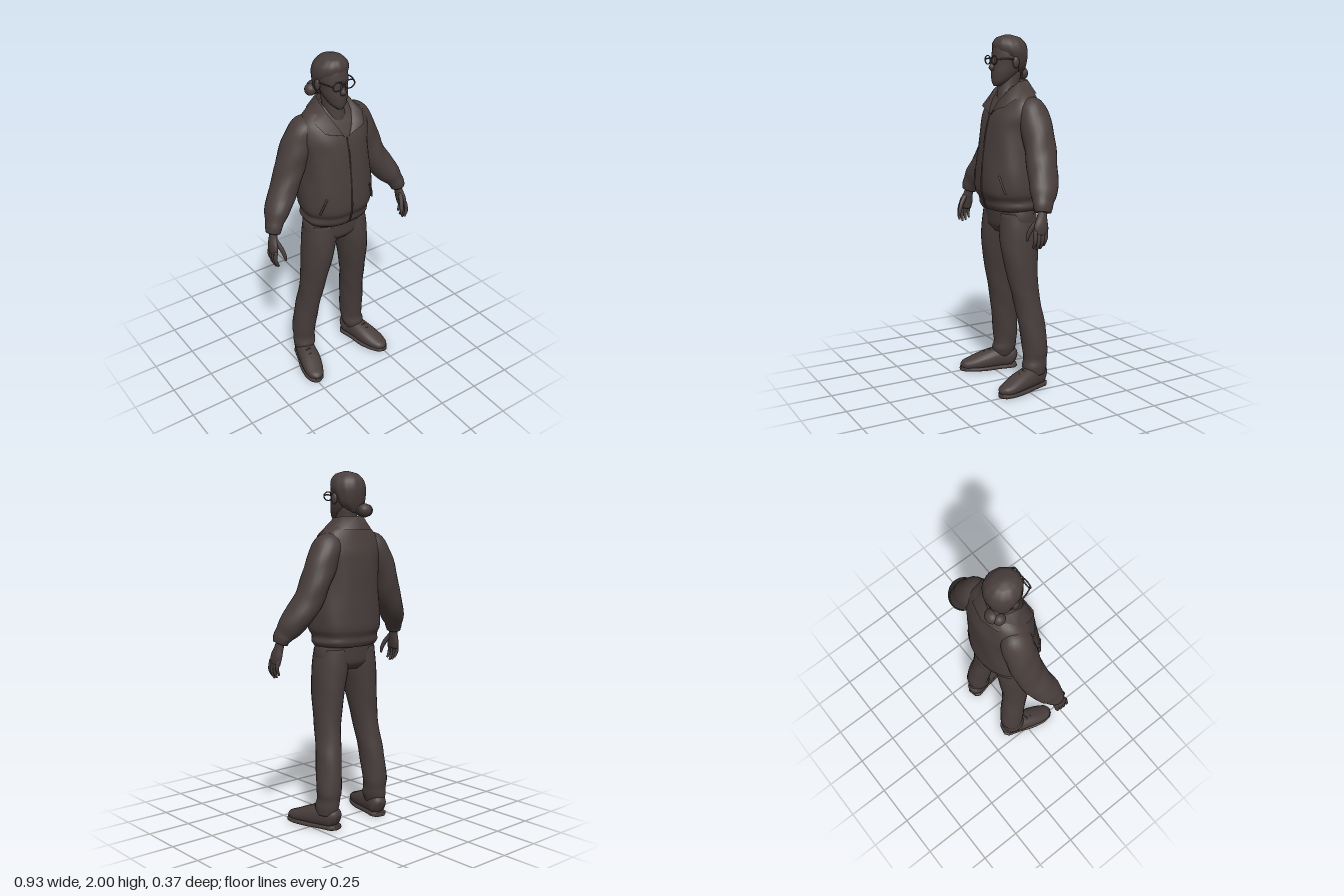
import * as THREE from 'three';

const cloth = new THREE.MeshStandardMaterial({ color: 0x483e3c, side: THREE.DoubleSide });
cloth.name = 'dark umber';

const V = (x, y, z) => new THREE.Vector3(x, y, z);

// Smooth loft through sections [x, y, z, halfWidth, halfDepth]
function loft(sections, { steps = 5, sides = 24, power = 2, level = false, ripple = null } = {}) {
  const centres = new THREE.CatmullRomCurve3(sections.map((s) => V(s[0], s[1], s[2])));
  const radii = new THREE.CatmullRomCurve3(sections.map((s) => V(s[3], s[4], s[1])));
  const rows = (sections.length - 1) * steps;
  const pos = [], idx = [];
  const bend = (v) => Math.sign(v) * Math.abs(v) ** (2 / power);
  for (let i = 0; i <= rows; i++) {
    const t = i / rows, c = centres.getPoint(t), r = radii.getPoint(t);
    const dir = level ? V(0, 1, 0) : centres.getTangent(t);
    const u = V(1, 0, 0).addScaledVector(dir, -dir.x).normalize();
    const w = dir.clone().cross(u);
    for (let j = 0; j < sides; j++) {
      const a = (j / sides) * Math.PI * 2;
      const k = ripple ? 1 + ripple(a, c.y) : 1;
      const p = c.clone()
        .addScaledVector(u, bend(Math.cos(a)) * r.x * k)
        .addScaledVector(w, bend(Math.sin(a)) * r.y * k);
      pos.push(p.x, p.y, p.z);
    }
  }
  for (let i = 0; i < rows; i++) for (let j = 0; j < sides; j++) {
    const a = i * sides + j, b = i * sides + (j + 1) % sides;
    idx.push(a, b, b + sides, a, b + sides, a + sides);
  }
  // end caps
  [0, rows].forEach((row, end) => {
    const c = centres.getPoint(end), n = pos.length / 3;
    pos.push(c.x, c.y, c.z);
    for (let j = 0; j < sides; j++) {
      const a = row * sides + j, b = row * sides + (j + 1) % sides;
      if (end) idx.push(a, b, n); else idx.push(b, a, n);
    }
  });
  const g = new THREE.BufferGeometry();
  g.setAttribute('position', new THREE.Float32BufferAttribute(pos, 3));
  g.setIndex(idx);
  g.computeVertexNormals();
  return g;
}

const cord = (pts, r) => new THREE.TubeGeometry(
  new THREE.CatmullRomCurve3(pts.map((p) => V(...p))), 16, r, 6);
const flip = (list, s) => list.map(([x, ...rest]) => [x * s, ...rest]);

// Turned-down collar: three rings of points from neck edge to outer edge
function collarGeometry() {
  const half = [
    [[0, 1.70, -0.09], [0, 1.755, -0.115], [0, 1.68, -0.15]],
    [[0.06, 1.70, -0.07], [0.07, 1.755, -0.085], [0.10, 1.68, -0.125]],
    [[0.08, 1.68, -0.02], [0.088, 1.745, -0.02], [0.15, 1.675, -0.04]],
    [[0.07, 1.64, 0.04], [0.082, 1.70, 0.045], [0.15, 1.65, 0.045]],
    [[0.04, 1.60, 0.09], [0.055, 1.645, 0.09], [0.125, 1.61, 0.095]],
    [[0.01, 1.56, 0.112], [0.02, 1.58, 0.116], [0.10, 1.605, 0.11]],
  ];
  const ring = [...half.slice(1).reverse().map((c) => flip(c, -1)), ...half];
  const idx = [];
  for (let i = 0; i < ring.length - 1; i++) for (let k = 0; k < 2; k++) {
    const a = i * 3 + k;
    idx.push(a, a + 1, a + 4, a, a + 4, a + 3);
  }
  const g = new THREE.BufferGeometry();
  g.setAttribute('position', new THREE.Float32BufferAttribute(ring.flat(2), 3));
  g.setIndex(idx);
  g.computeVertexNormals();
  return g;
}

export function createModel() {
  const model = new THREE.Group();
  const add = (name, geometry, parent = model) => {
    const m = new THREE.Mesh(geometry, cloth);
    m.name = name;
    parent.add(m);
    return m;
  };
  const ball = (name, x, y, z, a, b, c) =>
    add(name, new THREE.SphereGeometry(1, 16, 12).scale(a, b, c).translate(x, y, z));

  // Jacket body with gathered hem
  add('jacket', loft([
    [0, 1.035, -0.01, 0.185, 0.14], [0, 1.06, -0.01, 0.2, 0.152], [0, 1.09, -0.008, 0.194, 0.155],
    [0, 1.13, -0.005, 0.21, 0.172], [0, 1.22, -0.005, 0.212, 0.173], [0, 1.35, -0.01, 0.2, 0.166],
    [0, 1.48, -0.018, 0.195, 0.156], [0, 1.56, -0.025, 0.205, 0.142], [0, 1.63, -0.035, 0.195, 0.112],
    [0, 1.68, -0.045, 0.15, 0.085], [0, 1.72, -0.05, 0.08, 0.06],
  ], { level: true, sides: 48, power: 2.3, ripple: (a, y) => 0.012 * Math.sin(7 * a + 14 * y) }));
  add('collar', collarGeometry());
  add('zip', cord([[0, 1.05, 0.143], [0, 1.13, 0.168], [0, 1.22, 0.168], [0, 1.35, 0.156],
    [0, 1.48, 0.139], [0, 1.57, 0.114]], 0.005));

  // Trousers seat
  add('trouserSeat', loft([
    [0, 0.9, -0.01, 0.1, 0.08], [0, 0.94, -0.01, 0.185, 0.107],
    [0, 1.0, -0.01, 0.197, 0.112], [0, 1.07, -0.01, 0.18, 0.115],
  ], { level: true, sides: 32, power: 2.3 }));

  for (const s of [1, -1]) {
    const side = s > 0 ? 'left' : 'right';
    const arm = new THREE.Group(), leg = new THREE.Group();
    arm.name = side + 'Arm';
    leg.name = side + 'Leg';
    model.add(arm, leg);

    // Sleeve with creases and cuff
    add('sleeve', loft(flip([
      [0.11, 1.645, -0.05, 0.03, 0.05], [0.155, 1.6, -0.055, 0.075, 0.082], [0.2, 1.52, -0.06, 0.085, 0.09],
      [0.245, 1.42, -0.06, 0.08, 0.09], [0.29, 1.31, -0.048, 0.076, 0.088], [0.34, 1.23, -0.028, 0.073, 0.085],
      [0.385, 1.165, -0.002, 0.064, 0.076], [0.41, 1.125, 0.015, 0.048, 0.06],
      [0.42, 1.105, 0.022, 0.045, 0.056], [0.428, 1.075, 0.028, 0.038, 0.046],
    ], s), { ripple: (a, y) => 0.02 * Math.sin(3 * a + 40 * y) }), arm);

    // Hand, curled fingers and thumb
    add('palm', loft(flip([
      [0.42, 1.1, 0.025, 0.022, 0.026], [0.432, 1.05, 0.035, 0.022, 0.03],
      [0.442, 1.0, 0.046, 0.021, 0.043], [0.446, 0.96, 0.052, 0.015, 0.041],
    ], s), { sides: 14 }), arm);
    for (let i = 0; i < 4; i++) {
      const z = 0.021 + i * 0.021, drop = [0.02, 0.005, 0, 0.012][i];
      add('finger', loft(flip([
        [0.446, 0.985, z, 0.011, 0.012], [0.454, 0.945, z + 0.003, 0.011, 0.011],
        [0.452, 0.91 + drop, z + 0.006, 0.01, 0.01], [0.438, 0.88 + drop, z + 0.008, 0.006, 0.006],
      ], s), { sides: 8, steps: 3 }), arm);
    }
    add('thumb', loft(flip([
      [0.43, 1.04, 0.055, 0.013, 0.014], [0.415, 0.995, 0.088, 0.013, 0.014],
      [0.405, 0.955, 0.105, 0.011, 0.011], [0.402, 0.925, 0.109, 0.006, 0.006],
    ], s), { sides: 8, steps: 3 }), arm);

    // Trouser leg, gathered at the ankle
    add('trouserLeg', loft(flip([
      [0.187, 0.085, -0.072, 0.055, 0.064], [0.182, 0.13, -0.072, 0.065, 0.073],
      [0.178, 0.17, -0.078, 0.064, 0.069], [0.177, 0.22, -0.08, 0.069, 0.074],
      [0.162, 0.4, -0.06, 0.069, 0.079], [0.15, 0.5, -0.042, 0.069, 0.08],
      [0.141, 0.6, -0.025, 0.073, 0.085], [0.12, 0.8, -0.008, 0.089, 0.108],
      [0.105, 0.92, -0.008, 0.098, 0.112], [0.1, 1.02, -0.01, 0.09, 0.105],
    ], s), { level: true, ripple: (a, y) => 0.025 * Math.sin(3 * a + 30 * y) * (1 - y * 0.8) }), leg);

    // Shoe pointing slightly outward
    add('shoe', loft(flip([
      [0.165, 0.055, -0.143, 0.025, 0.03], [0.17, 0.065, -0.12, 0.05, 0.058],
      [0.19, 0.07, -0.05, 0.056, 0.062], [0.212, 0.058, 0.04, 0.062, 0.052],
      [0.235, 0.042, 0.12, 0.056, 0.036], [0.245, 0.035, 0.165, 0.04, 0.026],
      [0.25, 0.03, 0.185, 0.015, 0.013],
    ], s), { power: 2.3 }), leg);
    add('sole', loft(flip([
      [0.165, 0.013, -0.145, 0.03, 0.012], [0.17, 0.013, -0.12, 0.051, 0.013],
      [0.192, 0.013, -0.04, 0.055, 0.013], [0.215, 0.013, 0.05, 0.066, 0.013],
      [0.236, 0.013, 0.12, 0.06, 0.013], [0.248, 0.013, 0.168, 0.042, 0.013],
      [0.252, 0.014, 0.188, 0.018, 0.012],
    ], s), { power: 4 }), leg);
    for (let i = 0; i < 3; i++) {
      const x = 0.206 + i * 0.008, y = 0.12 - i * 0.013, z = 0.01 + i * 0.03;
      add('lace', cord(flip([[x - 0.033, y - 0.016, z], [x, y + 0.001, z + 0.005], [x + 0.033, y - 0.016, z]], s), 0.005), leg);
    }

    // Slanted pocket welt and trouser pocket seam
    add('pocketWelt', cord(flip([[0.175, 1.14, 0.112], [0.16, 1.19, 0.126], [0.142, 1.24, 0.135]], s), 0.006));
    // Ear and half of the glasses
    ball('ear', -0.015 + s * 0.089, 1.85, -0.01, 0.013, 0.032, 0.02);
    const lens = new THREE.TorusGeometry(0.028, 0.004, 6, 20).scale(1.1, 0.85, 1);
    add('glassesRim', lens.translate(-0.012 + s * 0.037, 1.863, 0.1));
    add('glassesTemple', cord([[-0.012 + s * 0.067, 1.868, 0.1], [-0.013 + s * 0.085, 1.87, 0.05],
      [-0.014 + s * 0.091, 1.865, -0.015]], 0.004));
  }

  // Neck and head
  add('neck', loft([[0, 1.58, 0.005, 0.07, 0.07], [-0.003, 1.66, 0, 0.06, 0.062],
    [-0.01, 1.72, -0.01, 0.056, 0.062], [-0.012, 1.8, -0.02, 0.055, 0.065]], { level: true }));
  add('head', loft([
    [-0.012, 1.72, 0.06, 0.018, 0.022], [-0.012, 1.745, 0.042, 0.045, 0.048], [-0.013, 1.79, 0.015, 0.067, 0.078],
    [-0.014, 1.84, -0.003, 0.078, 0.092], [-0.015, 1.89, -0.012, 0.086, 0.097], [-0.015, 1.94, -0.017, 0.08, 0.092],
    [-0.015, 1.98, -0.012, 0.05, 0.06], [-0.015, 1.993, -0.01, 0.015, 0.02],
  ], { level: true }));
  add('nose', loft([[-0.012, 1.805, 0.092, 0.012, 0.01], [-0.012, 1.82, 0.094, 0.017, 0.018],
    [-0.012, 1.845, 0.089, 0.012, 0.014], [-0.012, 1.88, 0.081, 0.009, 0.01]], { level: true, sides: 12 }));
  add('glassesBridge', cord([[-0.02, 1.867, 0.1], [-0.012, 1.871, 0.103], [-0.004, 1.867, 0.1]], 0.004));

  // Swept-back hair tied in a low knot
  add('hair', loft([
    [-0.03, 1.775, -0.06, 0.04, 0.035], [-0.02, 1.82, -0.052, 0.077, 0.056], [-0.016, 1.87, -0.038, 0.093, 0.08],
    [-0.015, 1.91, -0.024, 0.099, 0.096], [-0.015, 1.95, -0.016, 0.09, 0.094],
    [-0.015, 1.985, -0.01, 0.058, 0.066], [-0.015, 1.999, -0.008, 0.014, 0.018],
  ], { level: true, sides: 48, ripple: (a) => 0.015 * Math.sin(11 * a) }));
  add('hairTie', new THREE.TorusGeometry(0.026, 0.014, 10, 20).translate(-0.05, 1.79, -0.095));
  ball('hairKnot', -0.055, 1.785, -0.118, 0.042, 0.038, 0.038);
  ball('hairKnotSide', -0.088, 1.785, -0.1, 0.032, 0.034, 0.034);

  return model;
}
